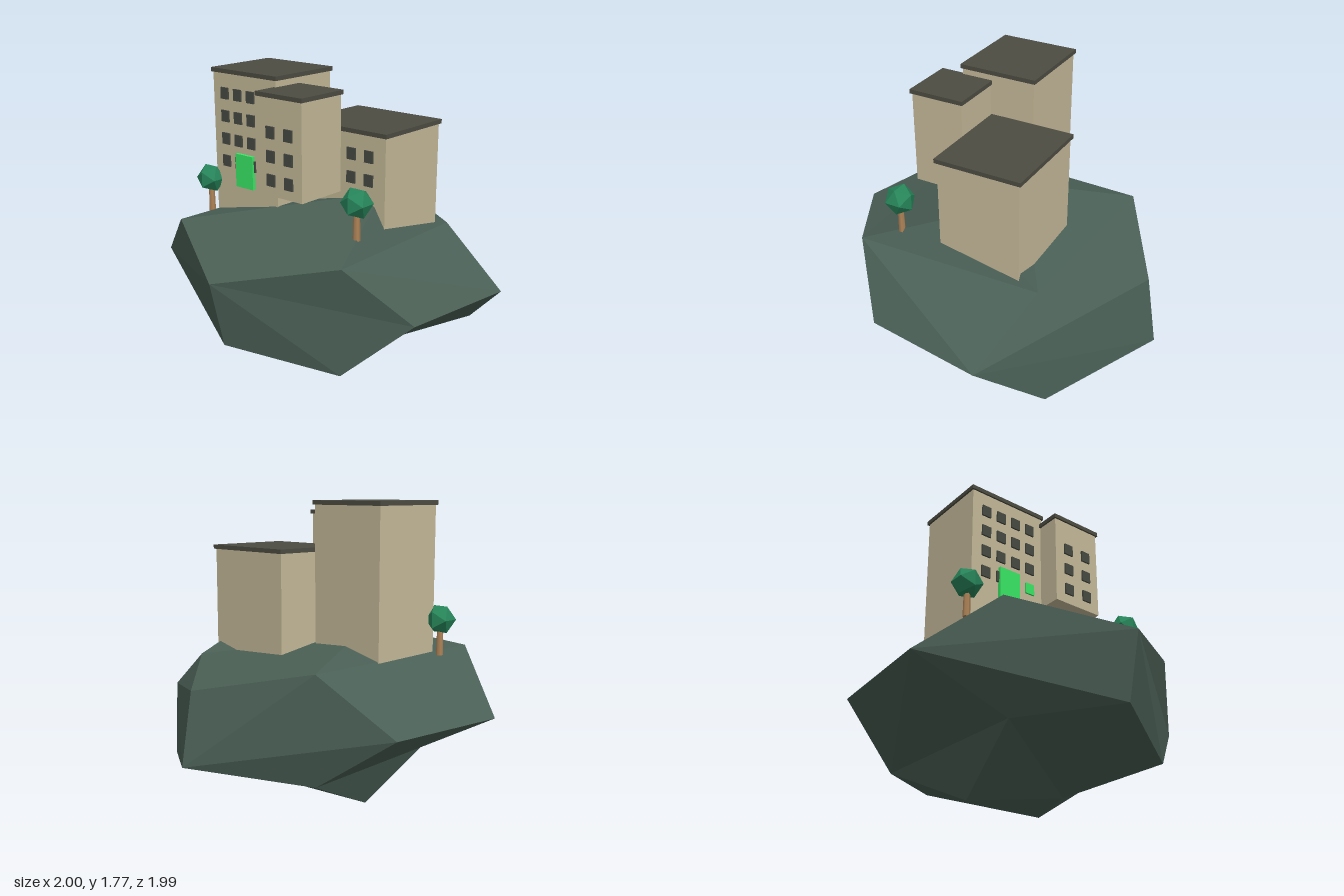
import * as THREE from 'three';

const mat = (color, flatShading = false) => new THREE.MeshStandardMaterial({ color, flatShading });
const rockMat = mat(0x4a5f55, true);
const wallMat = mat(0xc4b898);
const roofMat = mat(0x4c4c42);
const windowMat = mat(0x464a42);
const neonMat = mat(0x3ae665);
const trunkMat = mat(0xb08458);
const leafMat = mat(0x27855a, true);

function add(parent, name, geometry, material, x, y, z) {
  const mesh = new THREE.Mesh(geometry, material);
  mesh.name = name;
  mesh.position.set(x, y, z);
  parent.add(mesh);
  return mesh;
}

const box = (w, h, d) => new THREE.BoxGeometry(w, h, d);

// Floating rock: a flattened dodecahedron, each corner pushed in or out along its radius
function createRock() {
  const t = (1 + Math.sqrt(5)) / 2, r = 1 / t;
  const corners = [];
  for (const x of [-1, 1]) for (const y of [-1, 1]) for (const z of [-1, 1]) corners.push([x, y, z]);
  for (const a of [-r, r]) for (const b of [-t, t]) corners.push([0, a, b]);
  for (const b of [-t, t]) for (const a of [-r, r]) corners.push([a, b, 0]);
  for (const a of [-r, r]) for (const b of [-t, t]) corners.push([b, 0, a]);
  const push = [
    0.953, 0.815, 1.04, 1.075, 1.09, 0.97, 0.88, 1.035, // cube corners
    1.096, 0.938, 1.021, 1.034, // back and front
    1.10, 0.827, 0.80, 1.09, // bottom and top
    1.028, 1.049, 1.092, 0.942, // sides
  ];
  const dirs = corners.map((c) => new THREE.Vector3(...c).normalize());
  const geo = new THREE.DodecahedronGeometry(1, 0);
  const pos = geo.attributes.position;
  const v = new THREE.Vector3();
  for (let i = 0; i < pos.count; i++) {
    v.fromBufferAttribute(pos, i);
    const k = push[dirs.findIndex((d) => d.distanceTo(v) < 0.01)];
    pos.setXYZ(i, v.x * k, v.y * k * 0.55, v.z * k);
  }
  geo.computeVertexNormals();
  return geo;
}

// Block with an overhanging flat roof and a grid of windows on the front
function createBuilding(name, { x, z, w, d, base, top, roofW, roofD, cols, step, rows, lit }) {
  const g = new THREE.Group();
  g.name = name;
  add(g, 'walls', box(w, top - base, d), wallMat, x, (top + base) / 2, z);
  add(g, 'roof', box(roofW, 0.025, roofD), roofMat, x, top + 0.0125, z);
  for (let row = 0; row < rows; row++) {
    for (let col = 0; col < cols; col++) {
      const isLit = lit && row === 0 && col === cols - 1;
      add(g, isLit ? 'litWindow' : 'window', box(0.06, 0.068, 0.014), isLit ? neonMat : windowMat,
        x + (col - (cols - 1) / 2) * step, 1.222 + row * 0.135, z + d / 2 + 0.003);
    }
  }
  return g;
}

function createTree(name, x, y, z) {
  const g = new THREE.Group();
  g.name = name;
  add(g, 'trunk', new THREE.CylinderGeometry(0.017, 0.021, 0.2, 6), trunkMat, 0, 0.1, 0);
  add(g, 'foliage', new THREE.IcosahedronGeometry(0.09, 0), leafMat, 0, 0.21, 0);
  g.position.set(x, y, z);
  return g;
}

export function createModel() {
  const model = new THREE.Group();
  model.name = 'floatingIslandBlock';

  add(model, 'rock', createRock(), rockMat, 0.02, 0.565, 0.024);

  const tall = createBuilding('tallBuilding', {
    x: -0.345, z: 0.113, w: 0.505, d: 0.462, base: 0.86, top: 1.745,
    roofW: 0.525, roofD: 0.482, cols: 4, step: 0.105, rows: 4, lit: true,
  });
  add(tall, 'signBoard', box(0.14, 0.2, 0.02), neonMat, -0.342, 1.183, 0.355);
  model.add(tall);

  model.add(createBuilding('middleBuilding', {
    x: 0.064, z: 0.322, w: 0.322, d: 0.322, base: 1.13, top: 1.683,
    roofW: 0.342, roofD: 0.342, cols: 2, step: 0.133, rows: 3,
  }));
  model.add(createBuilding('lowBuilding', {
    x: 0.224, z: -0.112, w: 0.596, d: 0.502, base: 0.86, top: 1.476,
    roofW: 0.618, roofD: 0.526, cols: 4, step: 0.124, rows: 2,
  }));

  model.add(createTree('leftmostTree', -0.635, 0.885, 0.362));
  model.add(createTree('rightmostTree', 0.53, 0.968, 0.392));
  return model;
}
